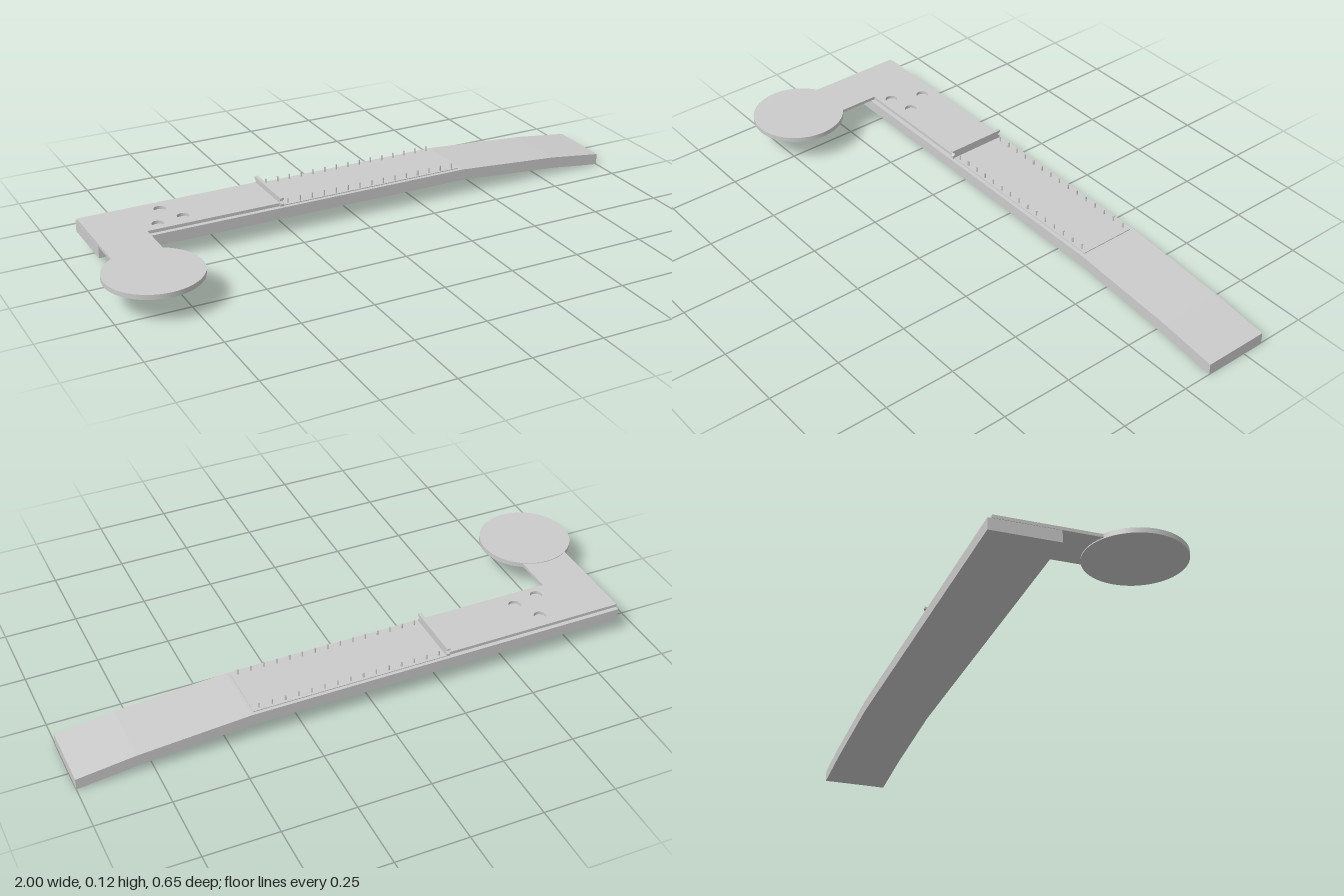
import * as THREE from 'three';

const mat = new THREE.MeshStandardMaterial({ color: 0xcccccc, flatShading: true });
const smooth = new THREE.MeshStandardMaterial({ color: 0xcccccc });

const shapeOf = (pts) => new THREE.Shape(pts.map(([x, y]) => new THREE.Vector2(x, y)));
const extrude = (shape, depth) =>
  new THREE.ExtrudeGeometry(shape, { depth, bevelEnabled: false, curveSegments: 24 });

export function createModel() {
  const model = new THREE.Group();
  const add = (name, geometry, material = mat) => {
    const mesh = new THREE.Mesh(geometry, material);
    mesh.name = name;
    model.add(mesh);
    return mesh;
  };

  // Long board whose far end bends down in two straight steps
  const board = extrude(shapeOf([
    [-0.925, 0.053], [0.42, 0.053], [0.8, 0.024], [1, 0],
    [1, 0.04], [0.8, 0.065], [0.42, 0.093], [-0.925, 0.093],
  ]), 0.228);
  board.translate(0, 0, -0.328);
  add('board', board);

  // L-shaped plate with three round holes; drawn as (x, -z) and laid flat
  const plate = shapeOf([
    [-0.925, -0.03], [-0.753, -0.03], [-0.753, 0.115],
    [-0.28, 0.115], [-0.28, 0.314], [-0.925, 0.314],
  ]);
  for (const [x, z] of [[-0.655, -0.262], [-0.702, -0.155], [-0.607, -0.173]]) {
    plate.holes.push(new THREE.Path().absarc(x, -z, 0.021, 0, Math.PI * 2, true));
  }
  const plateGeo = extrude(plate, 0.011);
  plateGeo.rotateX(-Math.PI / 2).translate(0, 0.094, 0);
  add('armPlate', plateGeo);

  // Round pad at the end of the arm
  const pad = add('roundPad', new THREE.CylinderGeometry(0.162, 0.162, 0.017, 64), smooth);
  pad.position.set(-0.838, 0.0985, 0.164);

  // Thin panel lying on the board
  const panel = add('panel', new THREE.BoxGeometry(0.69, 0.003, 0.202));
  panel.position.set(0.065, 0.0945, -0.215);

  // Crossbar with notched ends, profile drawn as (-z, y)
  const bar = extrude(shapeOf([
    [0.108, 0.094], [0.318, 0.094], [0.318, 0.103], [0.309, 0.111],
    [0.32, 0.119], [0.32, 0.125], [0.107, 0.125], [0.107, 0.119],
    [0.118, 0.111], [0.108, 0.103],
  ]), 0.012);
  bar.rotateY(Math.PI / 2).translate(-0.284, 0, 0);
  add('crossbar', bar);

  // Two rows of small pins along the panel edges
  const pins = new THREE.Group();
  pins.name = 'pins';
  const pinGeo = new THREE.CylinderGeometry(0.0028, 0.0028, 0.021, 8);
  for (const z of [-0.123, -0.304]) {
    for (let i = 0; i < 15; i++) {
      const pin = new THREE.Mesh(pinGeo, smooth);
      pin.name = 'pin';
      pin.position.set(-0.25 + i * 0.0455, 0.1045, z);
      pins.add(pin);
    }
  }
  model.add(pins);
  return model;
}
